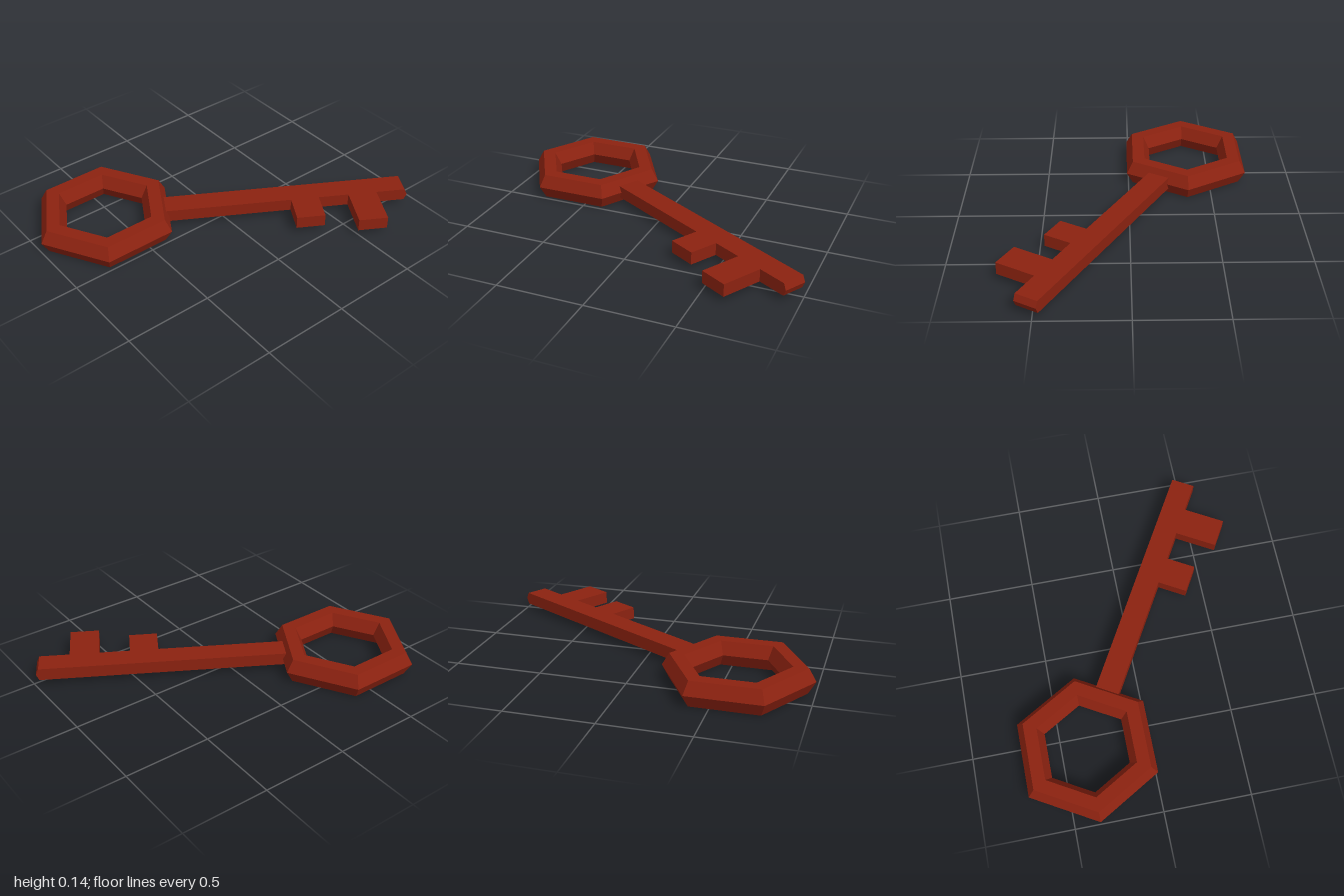
import * as THREE from 'three';

export function createModel() {
  const rust = new THREE.MeshStandardMaterial({ color: 0x8c2210 });
  rust.name = 'rust red';
  rust.flatShading = true;

  const key = new THREE.Group();
  key.name = 'key';
  key.position.set(-0.58, 0.073, -0.355);

  const add = (parent, name, geometry) => {
    const mesh = new THREE.Mesh(geometry, rust);
    mesh.name = name;
    parent.add(mesh);
    return mesh;
  };

  // Six-sided bow with a six-sided section
  add(key, 'bow', new THREE.TorusGeometry(0.337, 0.0835, 6, 6).rotateX(Math.PI / 2));

  // Blade points out through one flat of the bow
  const blade = new THREE.Group();
  blade.name = 'blade';
  blade.rotation.y = -Math.PI / 6;
  key.add(blade);

  // Shaft: side profile with a slightly pointed tip, extruded across its width
  const half = 0.0365, width = 0.135;
  const profile = new THREE.Shape([
    [0.3, -half], [1.762, -half], [1.778, 0], [1.762, half], [0.3, half],
  ].map(([x, y]) => new THREE.Vector2(x, y)));
  const shaft = new THREE.ExtrudeGeometry(profile, { depth: width, bevelEnabled: false });
  add(blade, 'shaft', shaft.translate(0, 0, -width / 2));

  // Teeth: start, end and reach from the shaft's centre line
  const teeth = [['innerTooth', 1.077, 1.242, 0.238], ['outerTooth', 1.42, 1.589, 0.312]];
  for (const [name, start, end, reach] of teeth) {
    const inner = width / 2 - 0.001;
    const tooth = add(blade, name, new THREE.BoxGeometry(end - start, half * 2, reach - inner));
    tooth.position.set((start + end) / 2, 0, (inner + reach) / 2);
  }

  const model = new THREE.Group();
  model.add(key);
  return model;
}
